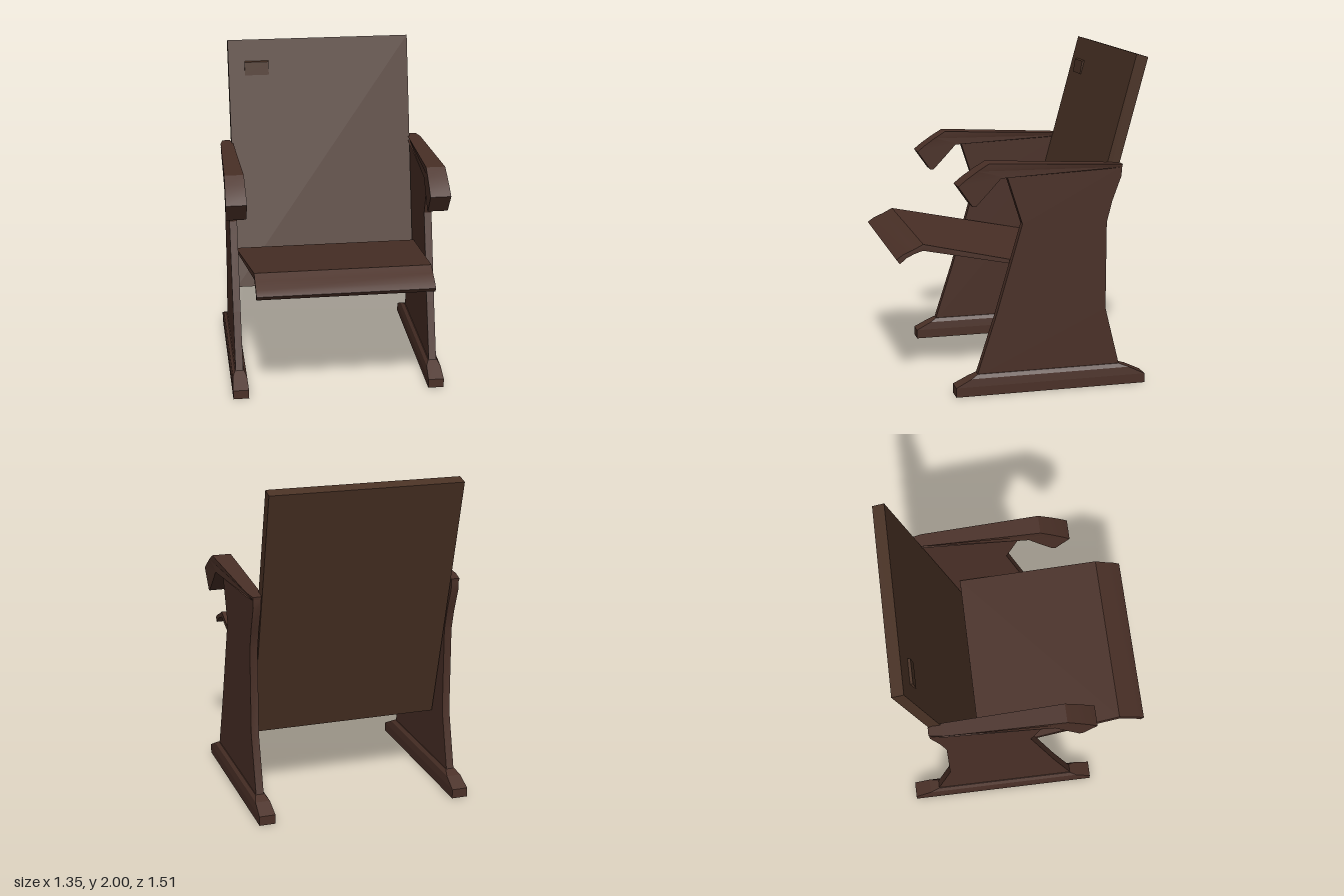
import * as THREE from 'three';
import { toCreasedNormals } from 'three/addons/utils/BufferGeometryUtils.js';
import { ConvexGeometry } from 'three/addons/geometries/ConvexGeometry.js';

const SIDE_X = 0.614; // centre line of each side frame

// Extrudes a [z, y] profile along x, centred on x = 0.
// halfWidth(z) sets the half width at each depth.
function slab(profile, halfWidth) {
  const shape = new THREE.Shape(profile.map(([z, y]) => new THREE.Vector2(z, y)));
  const geometry = new THREE.ExtrudeGeometry(shape, { depth: 2, bevelEnabled: false });
  geometry.translate(0, 0, -1);
  geometry.rotateY(-Math.PI / 2);
  const p = geometry.attributes.position;
  for (let i = 0; i < p.count; i++) {
    p.setX(i, Math.sign(p.getX(i)) * halfWidth(p.getZ(i)));
  }
  return toCreasedNormals(geometry, 0.55);
}

function createModel() {
  const chair = new THREE.Group();
  chair.name = 'armchair';

  const backWood = new THREE.MeshStandardMaterial({ color: 0x4a3225 });
  backWood.name = 'dark brown wood';
  const frameWood = new THREE.MeshStandardMaterial({ color: 0x4a3027 });
  frameWood.name = 'reddish brown wood';

  function add(name, geometry, material, x = 0) {
    const mesh = new THREE.Mesh(geometry, material);
    mesh.name = name;
    mesh.position.x = x;
    chair.add(mesh);
  }

  // Leaning backrest board
  add('backrest', slab([
    [-0.27, 0.45], [-0.342, 0.43], [-0.755, 1.98], [-0.684, 2.0],
  ], () => 0.584), backWood);

  // Small wedge plate on the backrest
  add('backrestPlate', slab([
    [-0.65, 1.867], [-0.632, 1.863], [-0.619, 1.78], [-0.63, 1.78],
  ], () => 0.077), backWood, -0.403);

  // Seat board with a down-curved front lip, narrower toward the front
  add('seat', slab([
    [-0.29, 0.718], [-0.29, 0.7], [0.087, 0.775], [0.596, 0.874],
    [0.65, 0.856], [0.697, 0.833], [0.734, 0.8], [0.755, 0.828],
    [0.718, 0.854], [0.654, 0.882], [0.594, 0.912],
  ], (z) => 0.53 + 0.055 * Math.max(0, (0.6 - z) / 0.89)), frameWood);

  // Side frames: waisted panel, curved armrest and foot on each side
  const panel = slab([
    [0.3, 0.11], [0.18, 0.48], [0.022, 1.025], [0.117, 1.32],
    [-0.585, 1.345], [-0.585, 1.29], [-0.53, 1.14], [-0.497, 1.01],
    [-0.497, 0.48], [-0.59, 0.11],
  ], () => 0.0235);

  const armrest = slab([
    [0.23, 1.4], [0.3, 1.358], [0.367, 1.312], [0.415, 1.273],
    [0.33, 1.151], [0.31, 1.151], [0.218, 1.247], [0.16, 1.31],
    [0.117, 1.312], [-0.5, 1.336], [-0.588, 1.34], [-0.59, 1.357], [-0.5, 1.363],
  ], (z) => (z < -0.55 ? 0.025 : 0.041 + 0.022 * (z + 0.5) / 0.9));

  // Foot levels: y, front z, back z, half width
  const footPoints = [];
  for (const [y, front, back, half] of [
    [0, 0.43, -0.745, 0.049], [0.057, 0.43, -0.745, 0.049],
    [0.105, 0.335, -0.645, 0.044], [0.127, 0.295, -0.585, 0.028],
  ]) {
    for (const z of [front, back]) {
      for (const x of [-half, half]) footPoints.push(new THREE.Vector3(x, y, z));
    }
  }
  const foot = new ConvexGeometry(footPoints);

  for (const [side, sign] of [['left', 1], ['right', -1]]) {
    add(side + 'SidePanel', panel, frameWood, sign * SIDE_X);
    add(side + 'Armrest', armrest, frameWood, sign * SIDE_X);
    add(side + 'Foot', foot, frameWood, sign * SIDE_X);
  }

  return chair;
}

export { createModel };
